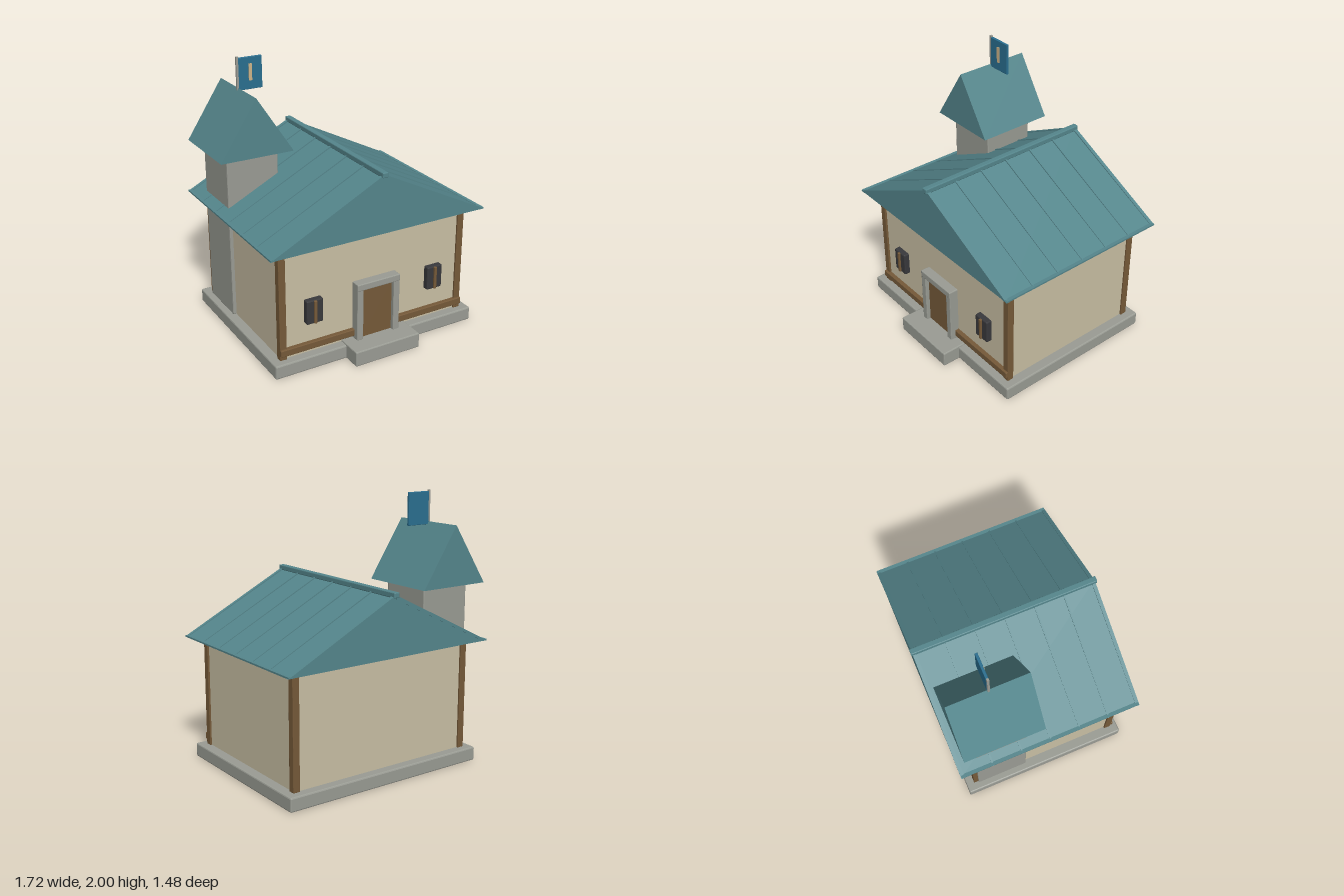
import * as THREE from 'three';
import { RoundedBoxGeometry } from 'three/addons/geometries/RoundedBoxGeometry.js';

const paint = (name, color) => {
  const m = new THREE.MeshStandardMaterial({ color });
  m.name = name;
  return m;
};

export function createModel() {
  const model = new THREE.Group();
  model.name = 'house';

  const stone = paint('grey stone', 0x9a9c94);
  const plaster = paint('cream plaster', 0xc9bfa4);
  const wood = paint('brown wood', 0x765a39);
  const slate = paint('teal roofing', 0x55868c);
  const glass = paint('dark window', 0x39393c);
  const cloth = paint('blue cloth', 0x2a6f90);
  const tan = paint('pale tan', 0xd0b588);

  const add = (name, geometry, material) => {
    const mesh = new THREE.Mesh(geometry, material);
    mesh.name = name;
    model.add(mesh);
    return mesh;
  };

  // Box given by its limits, with an optional small chamfer
  const block = (name, material, [x0, x1], [y0, y1], [z0, z1], bevel = 0) => {
    const size = [x1 - x0, y1 - y0, z1 - z0];
    const g = bevel ? new RoundedBoxGeometry(...size, 1, bevel) : new THREE.BoxGeometry(...size);
    if (bevel) g.computeVertexNormals();
    g.translate((x0 + x1) / 2, (y0 + y1) / 2, (z0 + z1) / 2);
    return add(name, g, material);
  };

  // Outline in x and y, pushed along z
  const extrude = (name, material, points, z0, z1) => {
    const shape = new THREE.Shape(points.map(p => new THREE.Vector2(...p)));
    const g = new THREE.ExtrudeGeometry(shape, { depth: z1 - z0, bevelEnabled: false });
    g.translate(0, 0, z0);
    return add(name, g, material);
  };

  // Base and doorstep
  block('foundation', stone, [-0.82, 0.82], [0, 0.103], [-0.685, 0.605], 0.01);
  block('doorstep', stone, [-0.265, 0.265], [0, 0.115], [0.45, 0.74], 0.008);

  // Walls and timber frame
  block('walls', plaster, [-0.745, 0.745], [0.1, 0.93], [-0.612, 0.535]);
  for (const s of [-1, 1]) {
    for (const z of [-0.6, 0.524]) {
      block('cornerPost', wood, [s * 0.732 - 0.026, s * 0.732 + 0.026], [0.1, 0.93],
        [z - 0.026, z + 0.026], 0.004);
    }
  }
  block('sillBeam', wood, [-0.758, 0.758], [0.135, 0.187], [0.51, 0.567], 0.005);
  block('topBeam', wood, [-0.758, 0.758], [0.885, 0.935], [0.51, 0.567], 0.005);

  // Door and its stone surround
  block('door', wood, [-0.13, 0.13], [0.11, 0.51], [0.52, 0.575]);
  for (const s of [-1, 1]) {
    block('doorJamb', stone, [s * 0.15 - 0.025, s * 0.15 + 0.025], [0.11, 0.55], [0.51, 0.605], 0.006);
  }
  block('doorLintel', stone, [-0.175, 0.175], [0.503, 0.555], [0.51, 0.607], 0.006);

  // Windows with a central mullion
  for (const x of [-0.498, 0.498]) {
    block('windowPane', glass, [x - 0.064, x + 0.064], [0.34, 0.52], [0.52, 0.578], 0.008);
    block('windowMullion', wood, [x - 0.011, x + 0.011], [0.343, 0.517], [0.54, 0.592], 0.004);
  }

  // Main roof: gabled body, raised seams, eaves and ridge
  extrude('roof', slate, [[-0.85, 0.925], [0.85, 0.925], [0, 1.349]], -0.73, 0.645);
  const seam = [[-0.86, 0.925], [-0.82, 0.925], [0, 1.33], [0.82, 0.925], [0.86, 0.925], [0, 1.359]];
  for (let i = 0; i < 5; i++) {
    const z = 0.405 - i * 0.2235;
    extrude('roofSeam', slate, seam, z - 0.006, z + 0.006);
  }
  extrude('frontRoofEdge', slate, seam, 0.622, 0.648);
  extrude('backRoofEdge', slate, seam, -0.733, -0.706);
  for (const s of [-1, 1]) {
    block('eave', slate, [s * 0.845 - 0.013, s * 0.845 + 0.013], [0.924, 0.936], [-0.73, 0.645]);
  }
  block('ridgeCap', slate, [-0.022, 0.022], [1.338, 1.377], [-0.743, 0.66], 0.006);

  // Tower and its steep gable
  block('tower', stone, [-0.77, -0.37], [0.1, 1.36], [-0.59, -0.19], 0.008);
  extrude('towerRoof', slate, [[-0.85, 1.345], [-0.288, 1.345], [-0.569, 1.775]], -0.688, -0.098);

  // Flag on its pole
  block('flagPole', stone, [-0.58, -0.563], [1.74, 2], [-0.398, -0.382]);
  block('flag', cloth, [-0.565, -0.382], [1.755, 1.99], [-0.4, -0.381], 0.003);
  block('flagStripe', tan, [-0.488, -0.464], [1.82, 1.942], [-0.382, -0.374]);

  return model;
}
